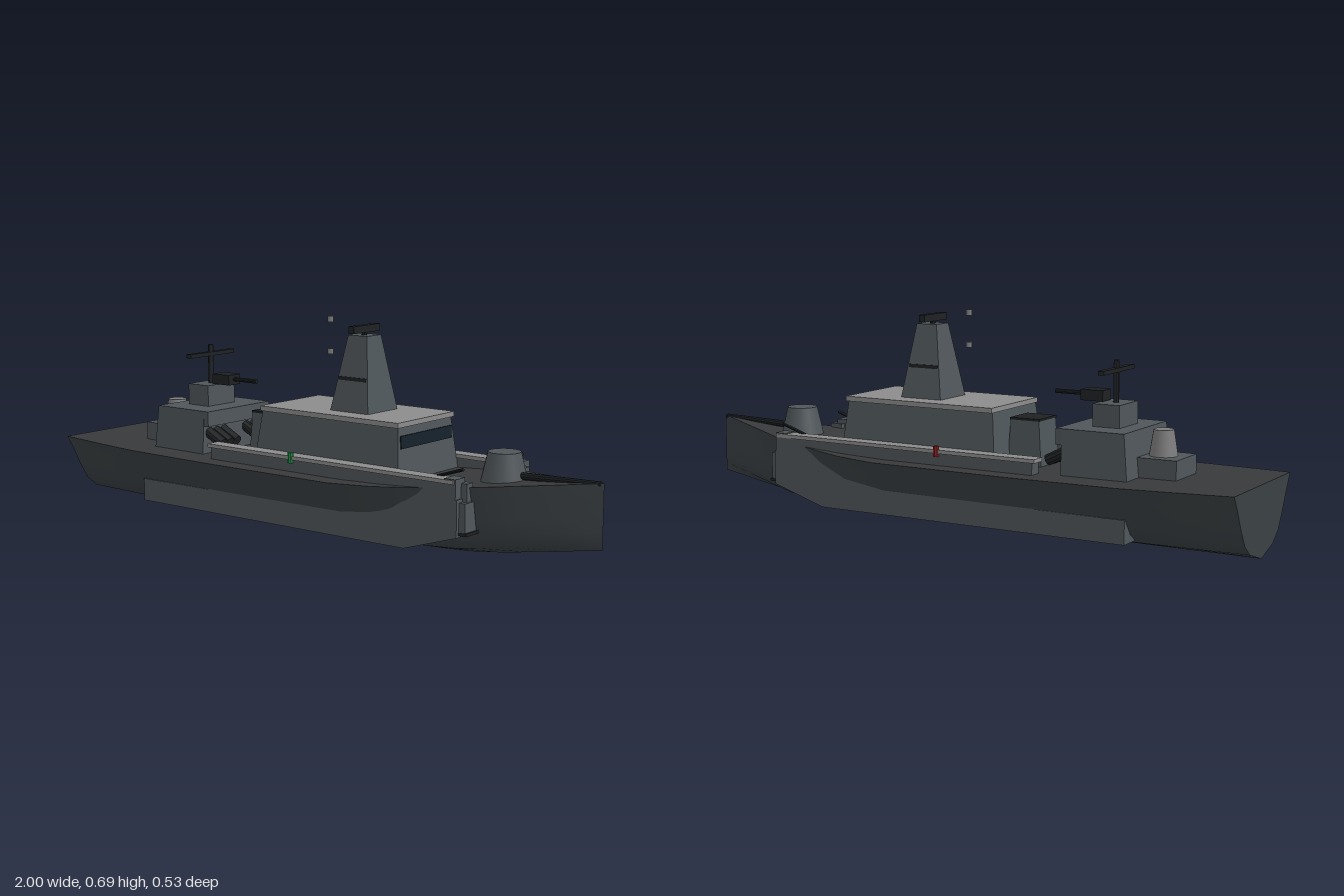
import * as THREE from 'three';

const mat = (color, flat = true) => {
  const m = new THREE.MeshStandardMaterial({ flatShading: flat, side: THREE.DoubleSide });
  m.color.set(color);
  return m;
};

// Surface through rows of points, normal = row direction x column direction
function loft(rows) {
  const n = rows[0].length, index = [];
  for (let i = 0; i < rows.length - 1; i++) {
    for (let j = 0; j < n - 1; j++) {
      const a = i * n + j, b = a + n;
      index.push(a, b, a + 1, b, b + 1, a + 1);
    }
  }
  const g = new THREE.BufferGeometry();
  g.setAttribute('position', new THREE.Float32BufferAttribute(rows.flat(2), 3));
  g.setIndex(index);
  g.computeVertexNormals();
  return g;
}

// Box with a different top rectangle; b and t are [x0, x1, half width in z]
function taper(b, t, y0, y1) {
  const g = new THREE.BoxGeometry(1, 1, 1), p = g.attributes.position;
  for (let i = 0; i < p.count; i++) {
    const up = p.getY(i) > 0, r = up ? t : b;
    p.setXYZ(i, p.getX(i) > 0 ? r[1] : r[0], up ? y1 : y0, Math.sign(p.getZ(i)) * r[2]);
  }
  g.computeVertexNormals();
  return g;
}

const box = (x0, x1, y0, y1, z0, z1) => new THREE.BoxGeometry(x1 - x0, y1 - y0, z1 - z0)
  .translate((x0 + x1) / 2, (y0 + y1) / 2, (z0 + z1) / 2);

// Cylinder between two points
function rod(a, b, r0, r1 = r0, sides = 10) {
  const A = new THREE.Vector3(...a), B = new THREE.Vector3(...b), d = B.clone().sub(A);
  const g = new THREE.CylinderGeometry(r1, r0, d.length(), sides);
  g.applyQuaternion(new THREE.Quaternion().setFromUnitVectors(new THREE.Vector3(0, 1, 0), d.normalize()));
  return g.translate((A.x + B.x) / 2, (A.y + B.y) / 2, (A.z + B.z) / 2);
}

export function createModel() {
  const ship = new THREE.Group();
  ship.name = 'patrolShip';
  const hullM = mat(0x3a4043, false), deckM = mat(0x37393b), grey = mat(0x4f565a), light = mat(0x8c8c8c);
  const dark = mat(0x1e2123), glass = mat(0x15202a), smoothGrey = mat(0x4f565a, false);
  const paleGrey = mat(0x7c7c7c, false), green = mat(0x1f8a45), red = mat(0x8a1f1f);
  const add = (name, geo, m) => {
    const mesh = new THREE.Mesh(geo, m);
    mesh.name = name;
    ship.add(mesh);
    return mesh;
  };

  // Hull stations: x, deck half width, deck height, keel height, bow fullness
  const stations = [
    [-1, 0.225, 0.223, 0, 0], [-0.82, 0.247, 0.221, 0, 0], [-0.65, 0.263, 0.219, 0, 0],
    [-0.3, 0.267, 0.217, 0, 0], [0.2, 0.265, 0.217, 0, 0], [0.35, 0.244, 0.222, 0, 0.2],
    [0.45, 0.218, 0.228, 0.002, 0.45], [0.55, 0.188, 0.235, 0.008, 0.75], [0.65, 0.155, 0.243, 0.02, 1],
    [0.75, 0.109, 0.252, 0.036, 1], [0.87, 0.056, 0.263, 0.057, 1], [1, 0, 0.276, 0.08, 1]];
  const midZ = [0, 0.41, 0.6, 0.75, 0.88, 1], bowZ = [0, 0.6, 0.8, 0.87, 0.93, 1];
  const heights = [0, 0.13, 0.28, 0.53, 0.79, 1];
  const section = ([x, w, top, keel, f], s) => heights.map((h, i) =>
    [x, keel + (top - keel) * h, s * w * (midZ[i] + (bowZ[i] - midZ[i]) * f)]);
  add('hullLeft', loft(stations.map(s => section(s, 1))), hullM);
  add('hullRight', loft(stations.map(s => section(s, -1)).reverse()), hullM);
  add('transom', loft([section(stations[0], -1), section(stations[0], 1)]), hullM);
  add('deck', loft(stations.map(([x, w, y]) => [[x, y, w], [x, y, -w]])), deckM);

  // Side sponsons, bulwarks and fittings on both sides
  const profile = new THREE.Shape([[-0.65, 0.038], [0.44, 0.038], [0.63, 0.097], [0.63, 0.21],
    [-0.35, 0.21], [-0.35, 0.113], [-0.65, 0.113]].map(p => new THREE.Vector2(...p)));
  for (const s of [1, -1]) {
    const span = (a, b) => [Math.min(s * a, s * b), Math.max(s * a, s * b)];
    const depth = 0.08;
    add('sponson', new THREE.ExtrudeGeometry(profile, { depth, bevelEnabled: false })
      .translate(0, 0, s > 0 ? 0.12 : -0.2), grey);
    add('bulwark', box(-0.34, 0.625, 0.2, 0.255, ...span(0.157, 0.2)), grey);
    add('bulwarkRail', box(-0.35, 0.62, 0.255, 0.267, ...span(0.153, 0.204)), light);
    add('sponsonPlate', box(0.62, 0.652, 0.11, 0.2, ...span(0.12, 0.188)), grey);
    add('sponsonLedge', box(0.62, 0.658, 0.103, 0.112, ...span(0.12, 0.19)), dark);
    add('sponsonBracket', box(0.6, 0.645, 0.2, 0.255, ...span(0.14, 0.17)), grey);
    add('bowStop', box(0.585, 0.625, 0.255, 0.27, ...span(0.15, 0.2)), grey);
    add('deckGun', rod([0.535, 0.265, s * 0.16], [0.625, 0.294, s * 0.16], 0.005), dark);
    add('sideLight', rod([0, 0.245, s * 0.2], [0, 0.278, s * 0.2], 0.01, 0.01, 8), s > 0 ? green : red);
    // Launcher tubes in front of the aft block
    for (const z of [0.055, 0.09, 0.125]) {
      add('launcherTube', rod([-0.42, 0.288, s * z], [-0.355, 0.255, s * z], 0.018), dark);
    }
  }

  // Superstructure with bridge window and roof
  add('superstructure', taper([-0.188, 0.389, 0.162], [-0.167, 0.372, 0.138], 0.205, 0.39), grey);
  add('bridgeWindow', taper([0.35, 0.381, 0.133], [0.35, 0.378, 0.133], 0.322, 0.361), glass);
  add('roof', box(-0.17, 0.378, 0.387, 0.403, -0.148, 0.148), light);
  add('funnel', taper([-0.297, -0.175, 0.06], [-0.285, -0.185, 0.055], 0.2, 0.36), grey);
  add('funnelCap', box(-0.287, -0.183, 0.358, 0.365, -0.056, 0.056), dark);

  // Main mast and radar
  add('mast', taper([0.06, 0.21, 0.077], [0.1, 0.174, 0.036], 0.4, 0.64), grey);
  add('mastBand', box(0.081, 0.189, 0.5, 0.511, -0.061, 0.061), dark);
  add('radarPost', rod([0.136, 0.635, 0], [0.136, 0.652, 0], 0.009), dark);
  add('radarBar', box(0.125, 0.147, 0.648, 0.671, -0.067, 0.067), dark);
  for (const y of [0.578, 0.681]) {
    add('mastLight', rod([0, y - 0.009, 0], [0, y + 0.009, 0], 0.01, 0.01, 8), paleGrey);
  }

  // Fore turret and barrel
  add('foreTurret', rod([0.663, 0.235, 0], [0.663, 0.33, 0], 0.072, 0.05, 24), smoothGrey);
  add('foreBarrel', rod([0.7, 0.262, 0], [0.99, 0.272, 0], 0.012, 0.008), dark);

  // Aft block with gun and aerial
  add('aftBlock', taper([-0.637, -0.415, 0.158], [-0.622, -0.415, 0.152], 0.2, 0.36), grey);
  add('aftBlockEave', box(-0.43, -0.395, 0.31, 0.36, -0.152, 0.152), grey);
  add('gunMount', box(-0.565, -0.475, 0.36, 0.43, -0.065, 0.065), grey);
  add('aftGun', box(-0.49, -0.415, 0.432, 0.466, -0.028, 0.028), dark);
  add('aftBarrel', rod([-0.42, 0.451, 0], [-0.315, 0.451, 0], 0.007), dark);
  add('aerialPole', rod([-0.522, 0.43, 0], [-0.522, 0.56, 0], 0.009), dark);
  add('aerialBar', box(-0.532, -0.512, 0.523, 0.536, -0.107, 0.107), dark);

  // Aft deckhouse with pale conical dome
  add('aftDeckhouse', box(-0.757, -0.63, 0.2, 0.28, -0.075, 0.075), grey);
  add('aftDome', rod([-0.682, 0.28, 0], [-0.682, 0.36, 0], 0.044, 0.031, 20), paleGrey);

  return ship;
}
